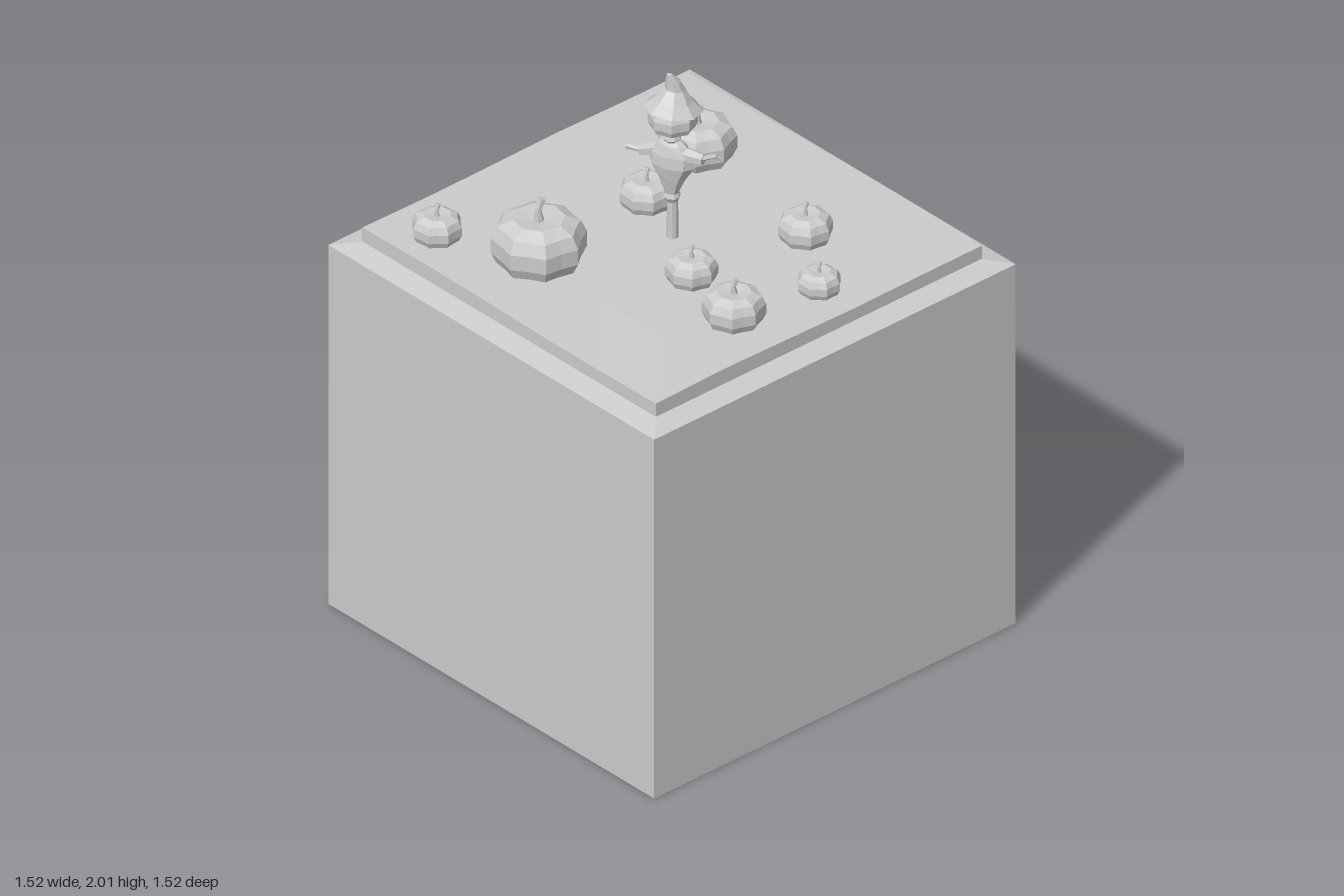
import * as THREE from 'three';

const material = new THREE.MeshStandardMaterial({ color: 0xcccccc, flatShading: true, side: THREE.DoubleSide });

function add(parent, name, geometry, x = 0, y = 0, z = 0) {
  const mesh = new THREE.Mesh(geometry, material);
  mesh.name = name;
  mesh.position.set(x, y, z);
  parent.add(mesh);
  return mesh;
}

// Faceted turned shape from [radius, y] pairs, listed from bottom to top
function turned(profile, sides) {
  return new THREE.LatheGeometry(profile.map(([r, y]) => new THREE.Vector2(r, y)), sides);
}

// Tapered rod between two points
function rod(parent, name, from, to, r0, r1, sides = 6) {
  const a = new THREE.Vector3(...from), b = new THREE.Vector3(...to);
  const dir = b.clone().sub(a);
  const mesh = add(parent, name, new THREE.CylinderGeometry(r1, r0, dir.length(), sides));
  mesh.position.copy(a).add(b).multiplyScalar(0.5);
  mesh.quaternion.setFromUnitVectors(new THREE.Vector3(0, 1, 0), dir.normalize());
  return mesh;
}

// Eight-ribbed pumpkin body of unit radius, standing on y = 0
function pumpkinBody() {
  const geometry = turned([[0, 0.04], [0.55, 0], [0.88, 0.17], [1, 0.42], [1, 0.78],
    [0.87, 1.05], [0.56, 1.2], [0.24, 1.16], [0, 1.12]], 16);
  const p = geometry.attributes.position;
  for (let i = 0; i < p.count; i++) {
    const column = Math.floor(i / 9);
    if (column % 2) {
      const r = Math.hypot(p.getX(i), p.getZ(i));
      const k = r > 0.3 ? 0.9 : 1;
      p.setX(i, p.getX(i) * k);
      p.setZ(i, p.getZ(i) * k);
    }
  }
  return geometry;
}

function pumpkin(x, z, radius, spin) {
  const group = new THREE.Group();
  group.name = 'pumpkin';
  add(group, 'pumpkinBody', pumpkinBody());
  rod(group, 'stemBase', [0, 1.1, 0], [-0.03, 1.4, 0], 0.12, 0.07);
  rod(group, 'stemTip', [-0.03, 1.37, 0], [0.06, 1.64, 0.03], 0.07, 0.1);
  group.position.set(x, 1.392, z);
  group.scale.setScalar(radius);
  group.rotation.y = spin;
  return group;
}

function scarecrow() {
  const group = new THREE.Group();
  group.name = 'scarecrow';
  rod(group, 'post', [0.003, 1.38, 0], [0, 1.82, 0], 0.019, 0.015, 8);

  // Coat, wide across the shoulders and tapering to a tied hem
  const figure = new THREE.Group();
  figure.name = 'figure';
  figure.rotation.y = 0.34;
  group.add(figure);
  const coat = turned([[0.016, 1.53], [0.028, 1.55], [0.022, 1.565], [0.034, 1.62],
    [0.043, 1.67], [0.04, 1.71], [0.03, 1.745], [0.016, 1.765]], 8);
  const p = coat.attributes.position;
  for (let i = 0; i < p.count; i++) {
    const y = p.getY(i);
    const widen = 1 + 1.1 * Math.max(0, 1 - Math.abs(y - 1.7) / 0.12);
    p.setZ(i, p.getZ(i) * widen);
  }
  add(figure, 'coat', coat);
  add(figure, 'collar', turned([[0.016, 1.745], [0.03, 1.765], [0.022, 1.785], [0.015, 1.8]], 8));

  // Sleeves and stick hands, one raised and one lowered
  for (const [side, handY] of [[1, 1.745], [-1, 1.685]]) {
    const cuffY = handY - (side > 0 ? 0.03 : 0);
    rod(figure, 'sleeve', [0, 1.715, side * 0.035], [0, cuffY, side * 0.112], 0.028, 0.019);
    rod(figure, 'arm', [0, cuffY, side * 0.1], [0, handY, side * 0.16], 0.009, 0.007, 5);
    rod(figure, 'finger', [0, handY - 0.005, side * 0.145], [0.012, handY - 0.016, side * 0.17], 0.006, 0.003, 4);
  }

  // Pumpkin head
  const head = add(group, 'head', pumpkinBody(), 0.003, 1.79, 0);
  head.scale.set(0.079, 0.082, 0.079);

  // Pointed hat with a drooping brim, tilted to one side
  const hat = add(group, 'hat', turned([[0, 0.005], [0.096, 0], [0.062, 0.03], [0.034, 0.068],
    [0.024, 0.1], [0.009, 0.127], [0, 0.13]], 8), 0.005, 1.873, 0);
  hat.rotation.z = -0.14;
  const h = hat.geometry.attributes.position;
  for (let i = 0; i < h.count; i++) {
    if (h.getY(i) > 0.08) h.setX(i, h.getX(i) - (h.getY(i) - 0.08) * 0.7);
  }
  return group;
}

export function createModel() {
  const model = new THREE.Group();
  model.name = 'pumpkinPatch';

  // Square block with a bevelled upper rim
  const q = Math.SQRT2;
  const block = add(model, 'block', turned([[0, 0], [0.76 * q, 0], [0.76 * q, 1.33],
    [0.685 * q, 1.347], [0, 1.347]], 4));
  block.rotation.y = Math.PI / 4;

  // Soil slab with a gently uneven top
  const soil = new THREE.BoxGeometry(1.37, 0.06, 1.37, 5, 1, 5);
  const s = soil.attributes.position;
  for (let i = 0; i < s.count; i++) {
    if (s.getY(i) < 0) continue;
    const x = s.getX(i), z = s.getZ(i);
    const edge = Math.max(Math.abs(x), Math.abs(z)) > 0.6 ? 1 : 0.4;
    s.setY(i, 0.03 - edge * 0.009 * (1 + Math.sin(4.2 * x + 1.3 * z + 2.2) * Math.cos(3.1 * z - 1.5 * x)));
  }
  add(model, 'soil', soil, 0, 1.373, 0);

  // Pumpkins: x, z, radius, spin
  const patch = [
    [-0.42, -0.155, 0.152, 0.2], [0.36, -0.28, 0.124, 0], [-0.555, -0.48, 0.082, 0.5],
    [0.06, -0.185, 0.088, 0.3], [-0.13, 0.235, 0.084, 0.1], [0.295, 0.295, 0.088, 0.25],
    [-0.19, 0.5, 0.101, 0], [0.125, 0.548, 0.071, 0.4],
  ];
  for (const entry of patch) model.add(pumpkin(...entry));

  model.add(scarecrow());
  return model;
}
